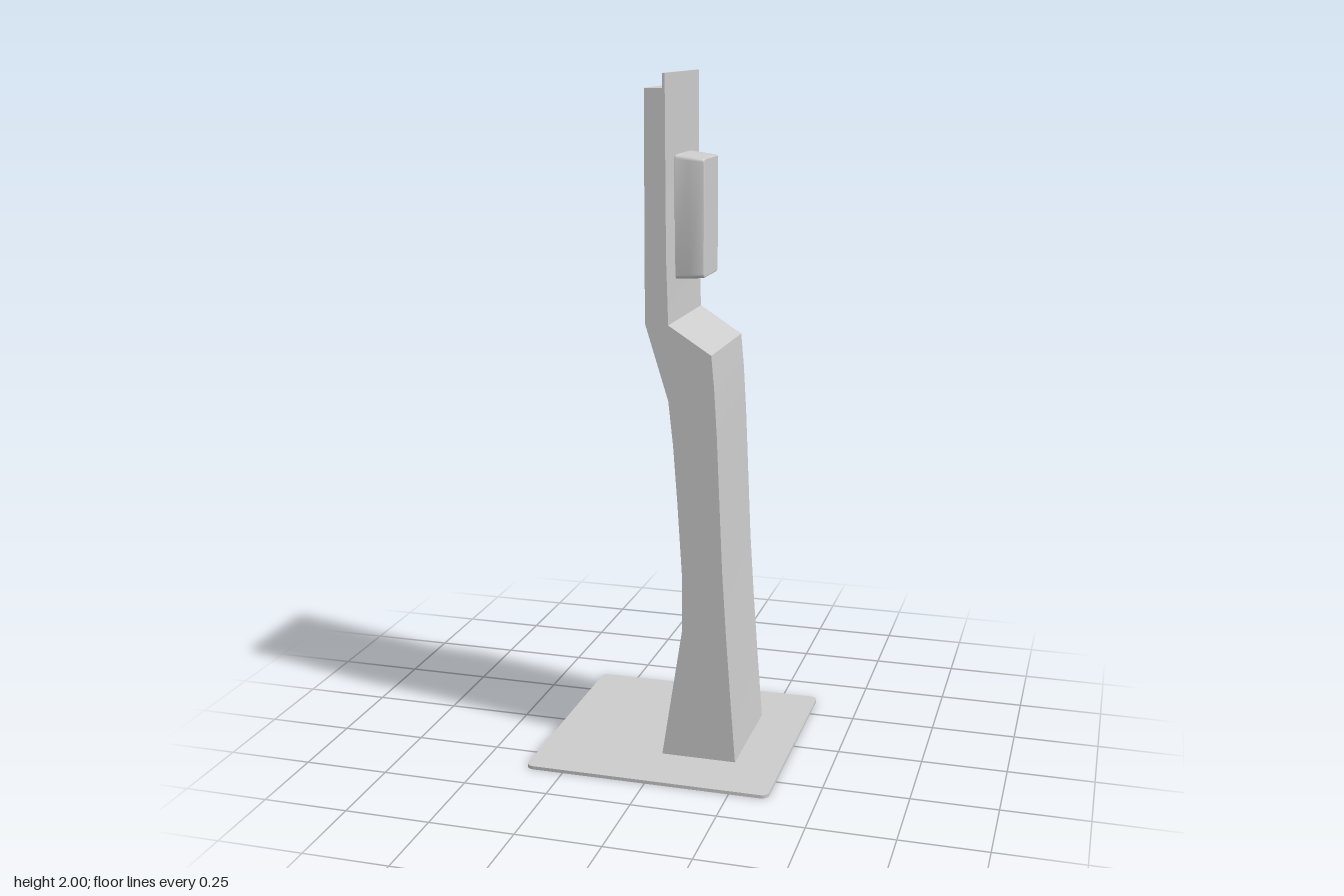
import * as THREE from 'three';
import { toCreasedNormals } from 'three/addons/utils/BufferGeometryUtils.js';

const material = new THREE.MeshStandardMaterial({ color: 0xcccccc });

function roundedRect(w, h, r) {
  const x = w / 2, y = h / 2, s = new THREE.Shape();
  s.moveTo(-x + r, -y);
  s.lineTo(x - r, -y).absarc(x - r, -y + r, r, -Math.PI / 2, 0);
  s.lineTo(x, y - r).absarc(x - r, y - r, r, 0, Math.PI / 2);
  s.lineTo(-x + r, y).absarc(-x + r, y - r, r, Math.PI / 2, Math.PI);
  s.lineTo(-x, -y + r).absarc(-x + r, -y + r, r, Math.PI, Math.PI * 1.5);
  return s;
}

function addPart(group, name, geometry) {
  const mesh = new THREE.Mesh(toCreasedNormals(geometry, 0.35), material);
  mesh.name = name;
  group.add(mesh);
  return mesh;
}

// Side profile swept across the width of the stand
function sweep(points, width, z = 0) {
  const shape = new THREE.Shape(points.map(([x, y]) => new THREE.Vector2(x, y)));
  return new THREE.ExtrudeGeometry(shape, { depth: width, bevelEnabled: false })
    .translate(0, 0, z - width / 2);
}

export function createModel() {
  const group = new THREE.Group();
  group.name = 'dispenserStand';

  // Thin floor plate with rounded corners
  const plate = new THREE.ExtrudeGeometry(roundedRect(0.727, 0.727, 0.022),
    { depth: 0.01, bevelEnabled: false, curveSegments: 5 });
  addPart(group, 'basePlate', plate.rotateX(-Math.PI / 2));

  // Curved column, sloping shoulder and upright panel with its raised front lip
  addPart(group, 'column', sweep([
    [0, 0.01], [0.223, 0.01], [0.208, 0.2], [0.193, 0.4], [0.18, 0.6],
    [0.171, 0.8], [0.162, 1.0], [0.154, 1.13], [0.145, 1.228],
    [0.02, 1.308], [0.014, 1.5], [0.011, 2], [0.004, 2], [0.004, 1.96],
    [-0.048, 1.96], [-0.048, 1.31], [0.02, 1.09], [0.034, 0.96],
    [0.046, 0.8], [0.06, 0.58], [0.06, 0.4],
  ], 0.354));

  // Dispenser box, tapering towards a gently bulged front
  const box = new THREE.ExtrudeGeometry(roundedRect(0.166, 0.342, 0.008), {
    depth: 0.078, steps: 2, curveSegments: 4,
    bevelThickness: 0.004, bevelSize: 0.004, bevelSegments: 2,
  });
  const p = box.attributes.position;
  for (let i = 0; i < p.count; i++) {
    const t = Math.max(0, p.getZ(i)) / 0.082;
    p.setX(i, p.getX(i) * (1 - 0.09 * t));
    const y = p.getY(i);
    p.setY(i, y > 0 ? y - 0.01 * t : y + 0.004 * t);
  }
  addPart(group, 'dispenser', box.rotateY(Math.PI / 2).translate(0.015, 1.6, 0));

  return group;
}
